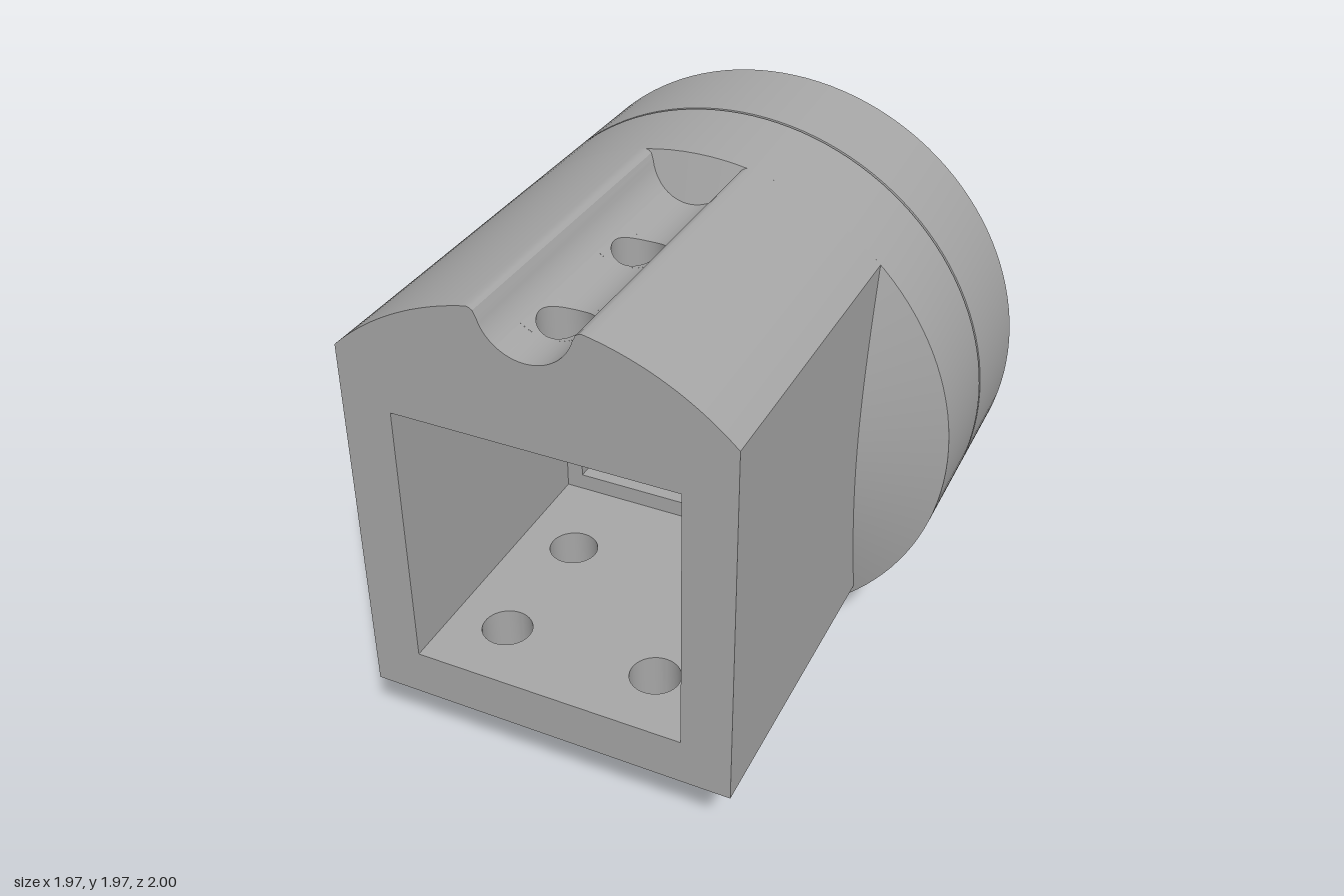
import * as THREE from 'three';
import { toCreasedNormals } from 'three/addons/utils/BufferGeometryUtils.js';
import { ParametricGeometry } from 'three/addons/geometries/ParametricGeometry.js';

const R = 0.983, C = 0.983;            // flange radius and height of its axis
const HALF = 0.68, POCKET = 0.5;       // square body and its pocket (half widths)
const FLOOR = C - POCKET, CEIL = C + POCKET + 0.005;
const BACK = -0.2, FRONT = 1;
const STRIP = 0.1;                     // half width of the drilled strip under the groove
const HOLE = 0.09, HOLE_Z = [0.25, 0.75];
const grooveY = (x) => 1.965 - Math.sqrt(0.165 ** 2 - x * x);

export function createModel() {
  const model = new THREE.Group();
  const grey = new THREE.MeshStandardMaterial({ color: 0xa6a6a6, side: THREE.DoubleSide });
  grey.name = 'machined grey';

  const add = (name, geometry, parent = model) => {
    const mesh = new THREE.Mesh(toCreasedNormals(geometry, 0.5), grey);
    mesh.name = name;
    parent.add(mesh);
    return mesh;
  };
  const extrude = (shape, z0, z1) => {
    const g = new THREE.ExtrudeGeometry(shape, { depth: z1 - z0, bevelEnabled: false, curveSegments: 32 });
    return g.translate(0, 0, z0);
  };
  const polygon = (pts) => new THREE.Shape(pts.map(([x, y]) => new THREE.Vector2(x, y)));
  const square = (h, y = 0) => [[-h, y - h], [h, y - h], [h, y + h], [-h, y + h]];
  const circle = (x, y, r) => new THREE.Path().absarc(x, y, r, 0, Math.PI * 2, true);

  // Round flange: bore, stepped rear rim, ring channel, thin seam and front cone
  const profile = [
    [0.65, -0.23], [0.565, -0.23], [0.565, -0.97], [0.71, -0.97], [0.71, -0.92],
    [0.73, -0.92], [0.73, -0.98], [0.77, -0.98], [0.77, -0.85], [0.93, -0.85],
    [0.93, -1], [R, -1], [R, -0.592], [R - 0.012, -0.59], [R - 0.012, -0.582],
    [R, -0.58], [R, BACK], [HALF, -0.1],
  ].map(([r, z]) => new THREE.Vector2(r, z));
  add('flange', new THREE.LatheGeometry(profile, 128).rotateX(Math.PI / 2).translate(0, C, 0));

  // Screw bosses inside the ring channel: [large hole angle, small hole angle]
  const bosses = new THREE.Group();
  bosses.name = 'screwBosses';
  model.add(bosses);
  for (const [large, small] of [[67.5, 45], [-22.5, 0], [157.5, 180], [247.5, 225]]) {
    const rad = THREE.MathUtils.degToRad;
    const a0 = rad(Math.min(large, small) - 6), a1 = rad(Math.max(large, small) + 6);
    const shape = new THREE.Shape();
    shape.absarc(0, 0, 0.935, a0, a1, false);
    shape.absarc(0, 0, 0.765, a1, a0, true);
    shape.holes.push(
      circle(0.835 * Math.cos(rad(large)), 0.835 * Math.sin(rad(large)), 0.052),
      circle(0.855 * Math.cos(rad(small)), 0.855 * Math.sin(rad(small)), 0.035));
    add('screwBoss', extrude(shape, -0.95, -0.85).translate(0, C, 0), bosses);
  }

  // Partition with the smaller square opening between pocket and bore
  const partition = polygon(square(0.6, C));
  partition.holes.push(polygon(square(0.435, C).reverse()));
  add('partition', extrude(partition, -0.23, -0.1));

  // Bottom wall with four drilled holes
  const floor = polygon([[-HALF, BACK], [HALF, BACK], [HALF, FRONT], [-HALF, FRONT]]);
  for (const x of [-0.29, 0.29]) for (const z of HOLE_Z) floor.holes.push(circle(x, z, HOLE));
  add('bottomWall', extrude(floor, 0, FLOOR - 0.305).rotateX(Math.PI / 2).translate(0, FLOOR, 0));

  // Side walls and the arched roof on either side of the groove
  for (const s of [1, -1]) {
    const side = s > 0 ? 'left' : 'right';
    const wall = new THREE.BoxGeometry(HALF - POCKET, CEIL - FLOOR, FRONT - BACK);
    add(side + 'Wall', wall.translate(s * (HALF + POCKET) / 2, (CEIL + FLOOR) / 2, (FRONT + BACK) / 2));

    const pts = [[STRIP, CEIL], [HALF, CEIL]];
    for (let i = 0; i <= 20; i++) {
      const x = HALF + (0.19 - HALF) * i / 20;
      pts.push([x, C + Math.sqrt(R * R - x * x)]);
    }
    pts.push([0.178, 1.945], [0.168, 1.938], [0.162, 1.925]);
    for (let i = 0; i <= 8; i++) {
      const x = 0.158 + (STRIP - 0.158) * i / 8;
      pts.push([x, grooveY(x)]);
    }
    add(side + 'Roof', extrude(polygon(pts.map(([x, y]) => [s * x, y])), BACK, FRONT));
  }

  // Groove floor: solid stretches between the holes
  const strip = [[-STRIP, CEIL], [STRIP, CEIL]];
  for (let i = 0; i <= 16; i++) {
    const x = STRIP - 2 * STRIP * i / 16;
    strip.push([x, grooveY(x)]);
  }
  const stops = [BACK, ...HOLE_Z.flatMap((z) => [z - STRIP, z + STRIP]), FRONT];
  for (let i = 0; i < stops.length; i += 2) {
    add('grooveFloor', extrude(polygon(strip), stops[i], stops[i + 1]));
  }

  // Drilled stretches: a round hole blended out to a square, on top and underneath
  for (const z of HOLE_Z) {
    const ring = (height) => (u, v, target) => {
      const a = u * Math.PI * 2, c = Math.cos(a), s = Math.sin(a);
      const r = HOLE + (STRIP / Math.max(Math.abs(c), Math.abs(s)) - HOLE) * v;
      target.set(r * c, height(r * c), z + r * s);
    };
    const bore = (u, v, target) => {
      const a = u * Math.PI * 2, x = HOLE * Math.cos(a);
      target.set(x, CEIL + (grooveY(x) - CEIL) * v, z + HOLE * Math.sin(a));
    };
    // Winding: the upper face looks up, the lower face down, the bore inwards
    const flip = (fn) => (u, v, target) => fn(1 - u, v, target);
    add('grooveHoleTop', new ParametricGeometry(flip(ring(grooveY)), 48, 3));
    add('grooveHoleUnderside', new ParametricGeometry(ring(() => CEIL), 48, 1));
    add('grooveHoleBore', new ParametricGeometry(bore, 48, 1));
  }

  return model;
}
